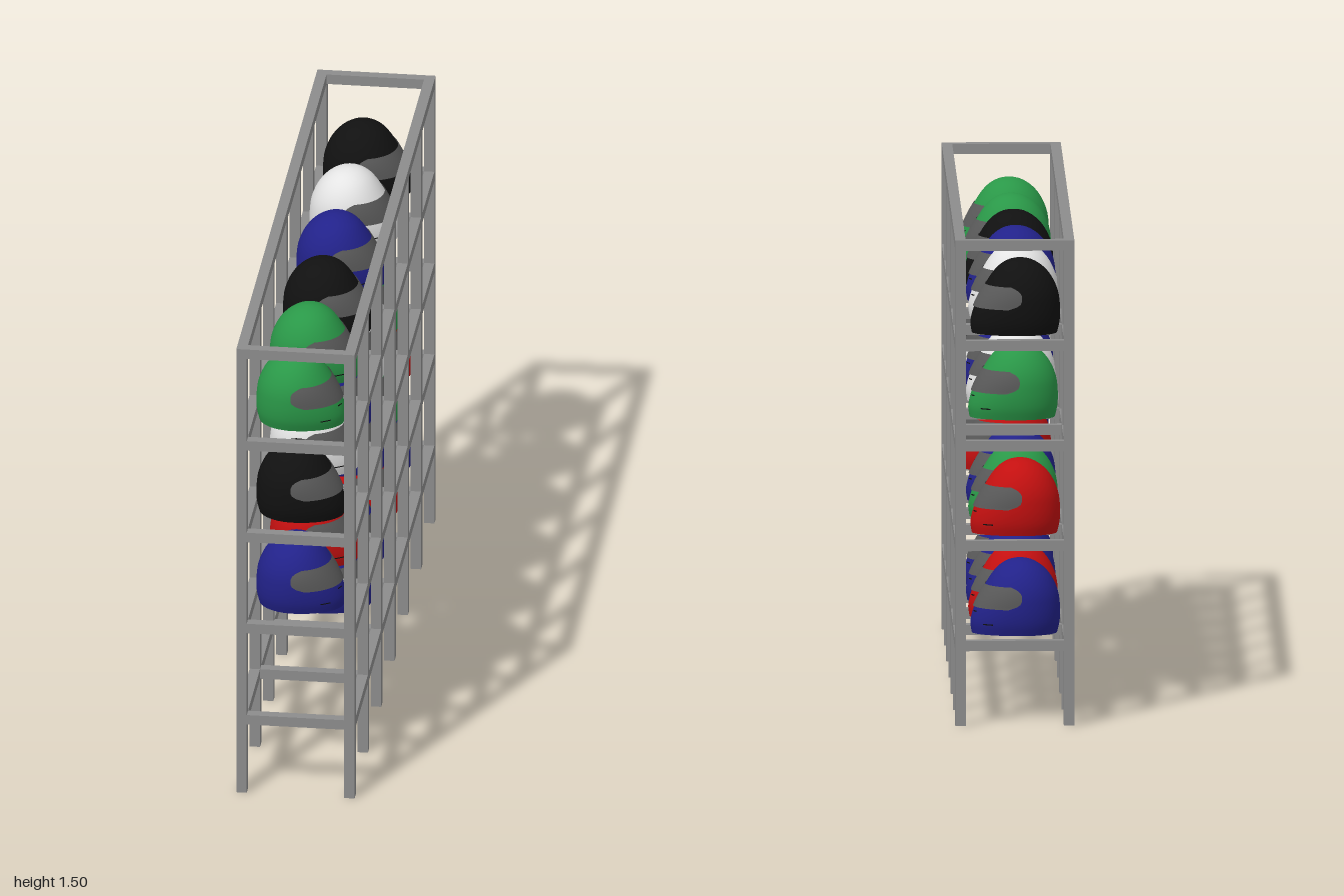
import * as THREE from 'three';
import { mergeVertices } from 'three/addons/utils/BufferGeometryUtils.js';

const mat = (name, color, side = THREE.DoubleSide) => {
  const m = new THREE.MeshStandardMaterial({ color, side });
  m.name = name;
  return m;
};

// Helmet outline from rim to crown: height, reach to back, reach to front, half width
const PROFILE = [
  [0, 0.113, 0.148, 0.094], [0.03, 0.12, 0.152, 0.106], [0.06, 0.122, 0.147, 0.112],
  [0.09, 0.121, 0.137, 0.114], [0.12, 0.117, 0.123, 0.113], [0.15, 0.107, 0.106, 0.106],
  [0.18, 0.09, 0.087, 0.091], [0.205, 0.066, 0.065, 0.069], [0.223, 0.035, 0.035, 0.038],
  [0.23, 0, 0, 0],
];
const LAST = PROFILE.length - 1;
const spline = (pts) => new THREE.CatmullRomCurve3(pts, false, 'catmullrom');
const reach = spline(PROFILE.map(([, b, f, w]) => new THREE.Vector3(b, f, w)));
const height = spline(PROFILE.map(([y]) => new THREE.Vector3(y, 0, 0)));

// Point on the helmet: angle from the front (+x), level along the profile, scale outwards
function shell(angle, level, scale = 1) {
  const t = THREE.MathUtils.clamp(level / LAST, 0, 1);
  const r = reach.getPoint(t);
  const c = Math.cos(angle);
  return [-0.02 + scale * c * (c > 0 ? r.y : r.x), height.getPoint(t).x, scale * r.z * Math.sin(angle)];
}

// Grid surface over u, v in 0..1
function patch(fn, nu, nv) {
  const pos = [], index = [];
  for (let j = 0; j <= nv; j++) for (let i = 0; i <= nu; i++) pos.push(...fn(i / nu, j / nv));
  for (let j = 0; j < nv; j++) for (let i = 0; i < nu; i++) {
    const a = j * (nu + 1) + i, b = a + nu + 1;
    index.push(a, b, a + 1, b, b + 1, a + 1);
  }
  const g = new THREE.BufferGeometry();
  g.setAttribute('position', new THREE.Float32BufferAttribute(pos, 3));
  g.setIndex(index);
  const merged = mergeVertices(g, 1e-5);
  merged.computeVertexNormals();
  return merged;
}

export function createModel() {
  const root = new THREE.Group();
  root.name = 'helmetRack';
  const steel = mat('frameGrey', 0x8c8c8c, THREE.FrontSide);
  const visorGrey = mat('visorGrey', 0x5a5a5a);
  const black = mat('black', 0x111111);
  const paint = {
    G: mat('green', 0x2a9848), K: black, B: mat('blue', 0x22228a),
    W: mat('white', 0xe4e4e4), R: mat('red', 0xc41010),
  };

  // Rack frame
  const T = 0.032, X = 0.166, Z = 0.984, TOP = 1.5;
  const bays = 6, pitch = (2 * Z) / bays;
  const frame = new THREE.Group();
  frame.name = 'frame';
  root.add(frame);
  const bar = (name, sx, sy, sz, x, y, z) => {
    const m = new THREE.Mesh(new THREE.BoxGeometry(sx, sy, sz), steel);
    m.name = name;
    m.position.set(x, y, z);
    frame.add(m);
  };
  const shelves = [1.19, 0.88, 0.572, 0.263];
  for (let i = 0; i <= bays; i++) {
    const z = Z - i * pitch;
    for (const x of [-X, X]) bar('post', T, TOP - T, T, x, (TOP - T) / 2, z);
    for (const y of shelves) bar('crossBar', 2 * X - T, T, T, 0, y - T / 2, z);
  }
  for (const y of [TOP, ...shelves]) for (const x of [-X, X])
    bar('rail', T, T, 2 * Z + T, x, y - T / 2, 0);
  for (const z of [-Z, Z]) bar('topEndBar', 2 * X - T, T, T, 0, TOP - T / 2, z);

  // Shared helmet geometry
  const shellGeo = patch((u, v) => shell(u * 2 * Math.PI, v * LAST), 44, 27);
  const baseGeo = patch((u, v) => shell(u * 2 * Math.PI, 0, v), 44, 1);
  const visorGeo = patch((u, v) => {
    const end = 1.6 - 0.3 * Math.pow(Math.abs(2 * v - 1), 3);
    return shell((2 * u - 1) * end, 2.75 + v * 2.3, 1.03);
  }, 30, 8);
  const vent = (angle, half, level) =>
    patch((u, v) => shell(angle + (2 * u - 1) * half, level + v * 0.12, 1.008), 4, 1);
  const vents = [-1, 1].flatMap((s) => [vent(s * 0.85, 0.13, 1.05), vent(s * 0.3, 0.1, 2.25)]);

  // Helmets, rows from the top, columns from +z; a dot is an empty bay
  ['GGKBWK', 'KWBWG.', 'BR.BGR', '..BBRB'].forEach((row, r) => {
    [...row].forEach((key, c) => {
      if (!paint[key]) return;
      const helmet = new THREE.Group();
      helmet.name = 'helmet';
      const add = (name, geo, material) => {
        const m = new THREE.Mesh(geo, material);
        m.name = name;
        helmet.add(m);
      };
      add('shell', shellGeo, paint[key]);
      add('base', baseGeo, paint[key]);
      add('visor', visorGeo, visorGrey);
      vents.forEach((g) => add('vent', g, black));
      helmet.position.set(0, shelves[r] + 0.001, Z - (c + 0.5) * pitch);
      root.add(helmet);
    });
  });
  return root;
}
